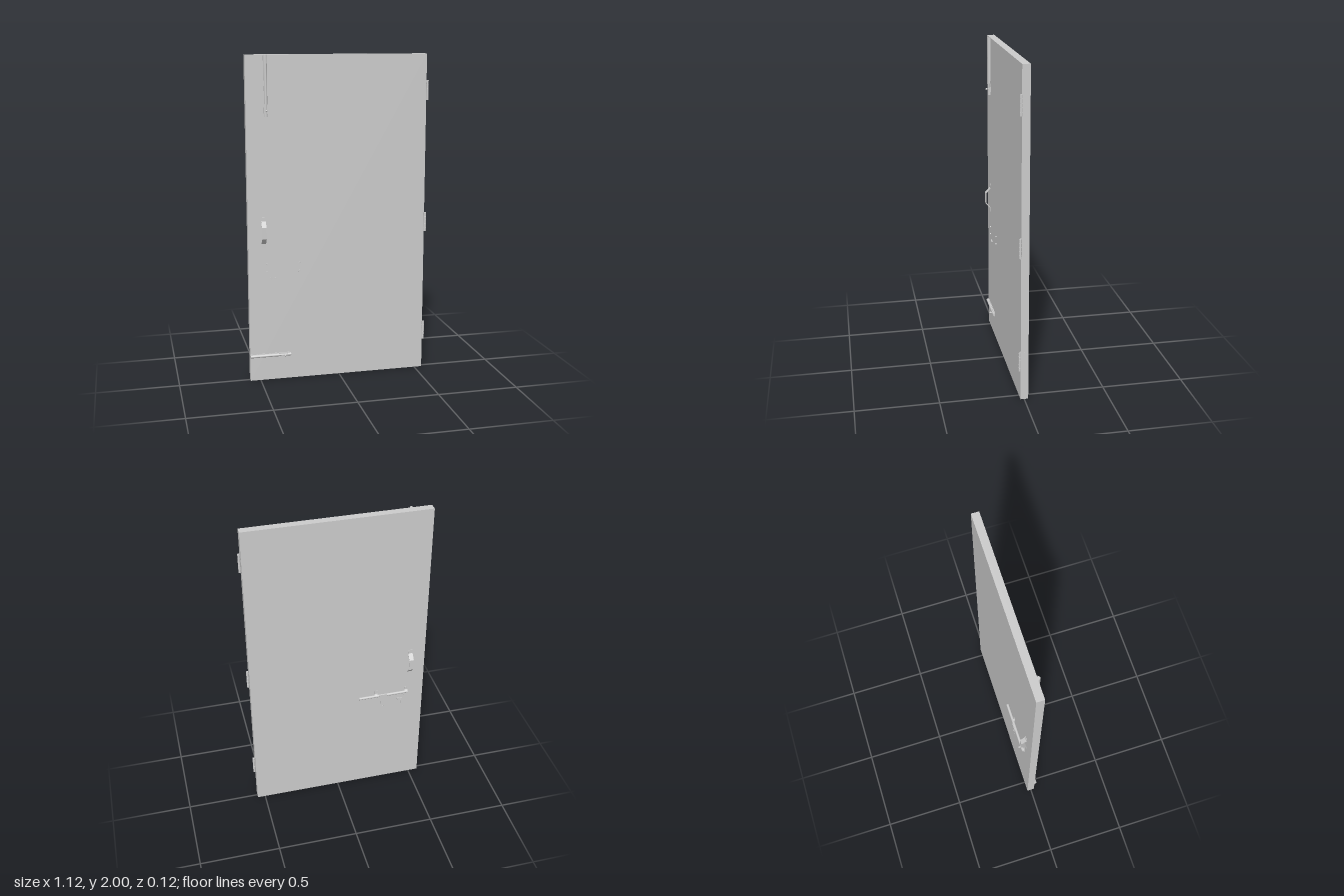
import * as THREE from 'three';

const mat = new THREE.MeshStandardMaterial({ color: 0xcccccc, side: THREE.DoubleSide });
const FRONT = 0.0225, BACK = -0.0245;

function add(parent, name, geo, x = 0, y = 0, z = 0) {
  const m = new THREE.Mesh(geo, mat);
  m.name = name;
  m.position.set(x, y, z);
  parent.add(m);
  return m;
}
const box = (w, h, d) => new THREE.BoxGeometry(w, h, d);
const cyl = (r, h, n = 16) => new THREE.CylinderGeometry(r, r, h, n);

function group(parent, name, x, y, z) {
  const g = new THREE.Group();
  g.name = name;
  g.position.set(x, y, z);
  parent.add(g);
  return g;
}

// Extrudes a closed (z, y) outline across x, centred on x = 0
function sideProfile(points, width) {
  const shape = new THREE.Shape(points.map(([z, y]) => new THREE.Vector2(z, y)));
  const geo = new THREE.ExtrudeGeometry(shape, { depth: width, bevelEnabled: false });
  return geo.translate(0, 0, -width / 2).rotateY(-Math.PI / 2);
}

// Bent strip pull handle with flat feet; origin on the door face
function pullHandle(parent, name, x, y, z) {
  const g = group(parent, name, x, y, z);
  const outer = [[0.003, -0.095], [0.003, -0.07], [0.034, -0.036], [0.034, 0.036], [0.003, 0.07], [0.003, 0.095]];
  const inner = [[0, 0.095], [0, 0.068], [0.03, 0.034], [0.03, -0.034], [0, -0.068], [0, -0.095]];
  add(g, 'grip', sideProfile([...outer, ...inner], 0.028));
  return g;
}

// Arched strap with flanges that holds a rod against the door
function rodStrap(parent, name, y, radius, width, reach) {
  const t = 0.003, pts = [[0, -reach], [t, -reach]];
  const arc = (r, from, to) => {
    for (let i = 0; i <= 10; i++) {
      const a = from + (to - from) * i / 10;
      pts.push([0.001 + Math.cos(a) * r * 1.25, Math.sin(a) * r]);
    }
  };
  pts.push([t, -radius - t]);
  arc(radius + t, -1.4, 1.4);
  pts.push([t, radius + t], [t, reach], [0, reach], [0, radius]);
  arc(radius, 1.4, -1.4);
  pts.push([0, -radius]);
  return add(parent, name, sideProfile(pts, width), 0, y, 0);
}

// Sliding bolt running along local +y from its knob end
function slidingBolt(parent, name, length, x, y) {
  const g = group(parent, name, x, y, FRONT);
  add(g, 'boltPlate', box(0.026, length, 0.003), 0, length / 2, 0.0015);
  add(g, 'boltRod', cyl(0.0065, length - 0.01), 0, length / 2 + 0.005, 0.0085);
  const cover = (h, yc, label) => {
    const c = add(g, label, new THREE.CylinderGeometry(0.0095, 0.0095, h, 16, 1, false, -Math.PI / 2, Math.PI), 0, yc, 0.003);
    c.scale.z = 1.35;
  };
  cover(length - 0.075, 0.075 + (length - 0.075) / 2, 'boltCover');
  cover(0.022, 0.011, 'boltEndCover');
  for (const s of [-1, 1]) add(g, 'slotRail', box(0.004, 0.055, 0.007), s * 0.011, 0.048, 0.0055);
  add(g, 'knobStem', cyl(0.0035, 0.016, 12).rotateX(Math.PI / 2), 0, 0.038, 0.018);
  add(g, 'knob', new THREE.SphereGeometry(0.0065, 14, 10), 0, 0.038, 0.026);
  return g;
}

// Barrel hinge with separated knuckles
function hinge(parent, y) {
  const g = group(parent, 'hinge', 0.553, y, 0.028);
  const n = 5, h = 0.12 / n;
  for (let i = 0; i < n; i++) add(g, 'knuckle', cyl(0.0075, h - 0.002), 0, (i - 2) * h, 0);
  add(g, 'hingePin', cyl(0.0055, 0.12), 0, 0, 0);
  add(g, 'hingeLeaf', box(0.003, 0.12, 0.026), -0.0045, 0, -0.014);
}

// Rear latch: sliding rod in straps, slotted hasp and staple
function rearLatch(parent) {
  const g = group(parent, 'rearLatch', 0, 0, BACK);
  const rodY = 0.715;
  add(g, 'latchRod', cyl(0.0085, 0.312, 20).rotateZ(Math.PI / 2), -0.294, rodY, -0.0105);
  for (const x of [-0.45, -0.25]) {
    const s = group(g, 'rodStrap', x, rodY, 0);
    s.rotation.y = Math.PI;
    rodStrap(s, 'strap', 0, 0.0105, 0.02, 0.036);
  }
  // Slotted hasp plate hanging from the rod
  const plate = new THREE.Shape();
  plate.moveTo(-0.024, 0.012).lineTo(0.024, 0.012).lineTo(0.024, -0.025).lineTo(0.019, -0.035)
    .lineTo(0.019, -0.088).lineTo(-0.019, -0.088).lineTo(-0.019, -0.035).lineTo(-0.024, -0.025).closePath();
  const slot = new THREE.Path();
  slot.moveTo(-0.006, -0.043).lineTo(-0.006, -0.078).lineTo(0.006, -0.078).lineTo(0.006, -0.043).closePath();
  plate.holes.push(slot);
  add(g, 'haspPlate', new THREE.ExtrudeGeometry(plate, { depth: 0.003, bevelEnabled: false }), -0.295, rodY, -0.0225);
  // Staple on its base plate
  add(g, 'stapleBase', box(0.045, 0.026, 0.003), -0.412, 0.652, -0.0015);
  const loop = new THREE.CurvePath();
  const p = [[0, -0.011], [-0.026, -0.011], [-0.026, 0.011], [0, 0.011]].map(([z, y]) => new THREE.Vector3(0, y, z));
  for (let i = 0; i < 3; i++) loop.add(new THREE.LineCurve3(p[i], p[i + 1]));
  add(g, 'staple', new THREE.TubeGeometry(loop, 48, 0.0028, 8), -0.412, 0.652, 0);
}

export function createModel() {
  const door = new THREE.Group();
  door.name = 'door';

  add(door, 'doorPanel', box(1.112, 2, FRONT - BACK), -0.007, 1, (FRONT + BACK) / 2);

  for (const y of [0.25, 0.96, 1.78]) hinge(door, y);

  pullHandle(door, 'frontHandle', -0.468, 0.94, FRONT);
  pullHandle(door, 'backHandle', -0.468, 0.94, BACK).rotation.y = Math.PI;

  slidingBolt(door, 'topBolt', 0.362, -0.443, 1.637);
  slidingBolt(door, 'bottomBolt', 0.253, -0.309, 0.158).rotation.z = Math.PI / 2;

  rearLatch(door);

  // Through-bolt heads on the front and back of the latch fixings
  const fixings = [[-0.45, 0.74], [-0.45, 0.69], [-0.25, 0.74], [-0.25, 0.69], [-0.425, 0.652], [-0.4, 0.652]];
  for (const [x, y] of fixings) {
    add(door, 'boltHead', cyl(0.006, 0.007, 12).rotateX(Math.PI / 2), x, y, FRONT + 0.0035);
    add(door, 'rivetHead', cyl(0.004, 0.004, 12).rotateX(Math.PI / 2), x, y, BACK - 0.003);
  }
  return door;
}
